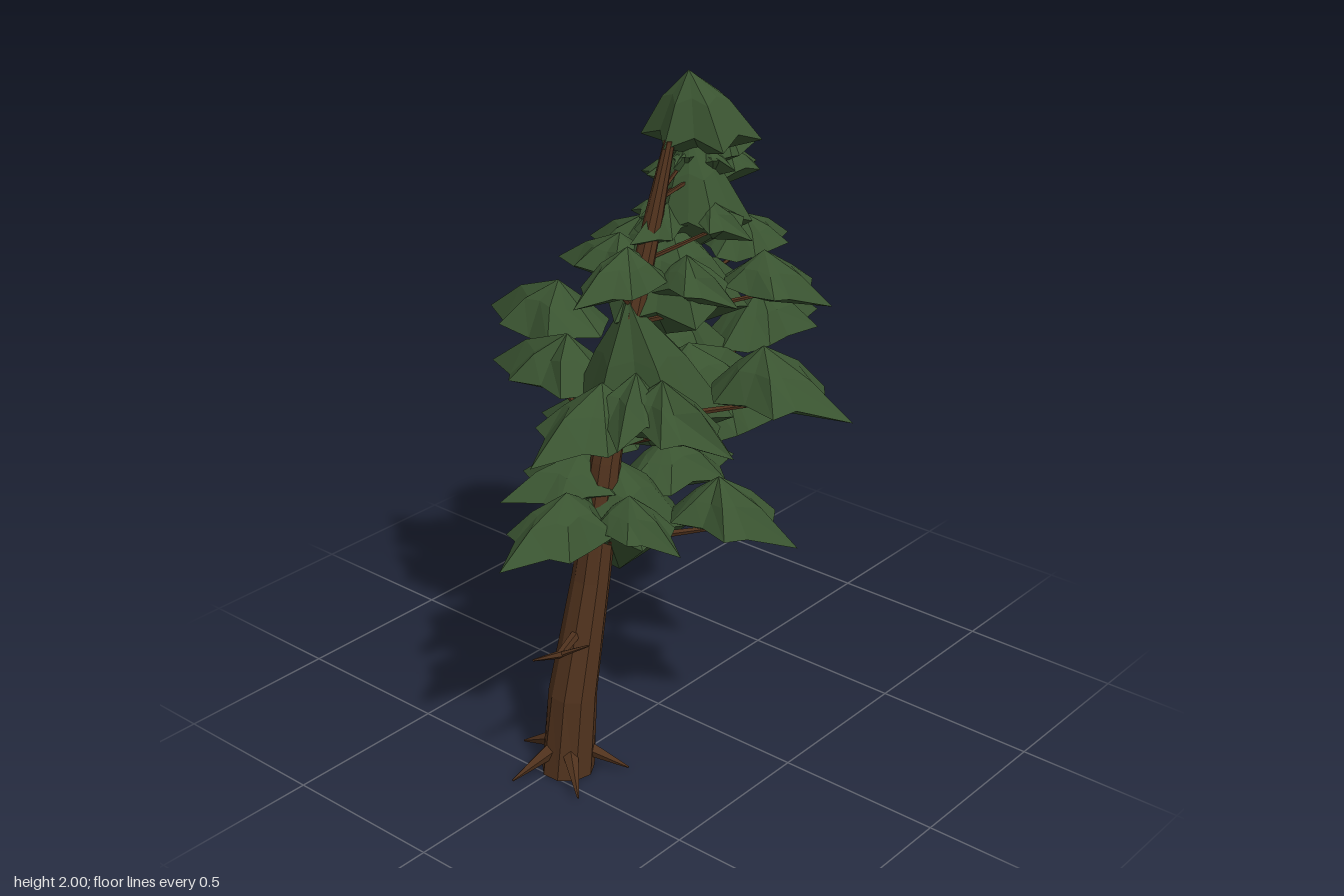
import * as THREE from 'three';

const V = (x, y, z) => new THREE.Vector3(x, y, z);
const green = new THREE.MeshStandardMaterial({ color: 0x3a5431, flatShading: true });
const bark = new THREE.MeshStandardMaterial({ color: 0x50321d, flatShading: true });

// small repeatable random source
let seed = 7;
const rnd = () => ((seed = (seed * 16807) % 2147483647) / 2147483647);
const jit = (a) => 1 + (rnd() - 0.5) * a;

// closed solid through rings of equal length, listed from top to bottom, anticlockwise from above
function loft(rings, top, bottom) {
  const points = [];
  const n = rings[0].length;
  const last = rings[rings.length - 1];
  for (let i = 0; i < n; i++) {
    const j = (i + 1) % n;
    points.push(top, rings[0][i], rings[0][j]);
    for (let k = 0; k < rings.length - 1; k++) {
      const a = rings[k], b = rings[k + 1];
      points.push(a[i], b[j], a[j], a[i], b[i], b[j]);
    }
    points.push(bottom, last[j], last[i]);
  }
  const g = new THREE.BufferGeometry().setFromPoints(points);
  g.computeVertexNormals();
  return g;
}

function add(parent, name, geometry, material) {
  const m = new THREE.Mesh(geometry, material);
  m.name = name;
  parent.add(m);
  return m;
}

// tapered stick from a to b
function stick(parent, name, a, b, r0, r1) {
  const d = b.clone().sub(a);
  const m = add(parent, name, new THREE.CylinderGeometry(r1, r0, d.length(), 5), bark);
  m.position.copy(a).addScaledVector(d, 0.5);
  m.quaternion.setFromUnitVectors(V(0, 1, 0), d.normalize());
}

// outline of a needle pad: distance along the pad, half width
const half = [[0.7, 0.5], [0.62, 0.95], [0.38, 0.8], [0.16, 0.88], [0.06, 0.45]];
const outline = [[1, 0], ...half, [-0.03, 0], ...half.map(([u, v]) => [u, -v]).reverse()];

// domed pad pointing from root to tip, its width and height following its length
function pad(parent, root, tip) {
  const along = tip.clone().sub(root).setY(0);
  const across = V(along.z, 0, -along.x).multiplyScalar(0.31);
  const h = along.length() * 0.35;
  const at = (u, v, y) =>
    root.clone().addScaledVector(along, u).addScaledVector(across, v).setY(tip.y + y);
  const rim = [], mid = [];
  outline.forEach(([u, v], i) => {
    const f = jit(0.2);
    rim.push(at(u, v * f, i ? 0.03 * rnd() : 0));
    mid.push(at(0.38 + (u - 0.38) * 0.52, v * 0.56 * f, h * (0.56 + 0.12 * rnd())));
  });
  add(parent, 'foliagePad', loft([mid, rim], at(0.35, 0, h), at(0.4, 0, -0.03)), green);
}

// jagged clump around the stem: peak, rim height, radius and lowest point
function clump(parent, name, peak, rim, r, low) {
  const outer = [], mid = [];
  for (let i = 0; i < 12; i++) {
    const a = (-i / 12) * Math.PI * 2;
    const q = r * (i % 2 ? 0.8 : 1) * jit(0.15);
    outer.push(V(low.x + Math.cos(a) * q, rim + (i % 2) * 0.03, low.z + Math.sin(a) * q));
    mid.push(outer[i].clone().lerp(peak, 0.45).add(V(0, 0.025, 0)));
  }
  add(parent, name, loft([mid, outer], peak, low), green);
}

// leaning stem line: x, y, radius
const line = [[-0.435, 0, 0.078], [-0.41, 0.25, 0.072], [-0.335, 0.6, 0.056], [-0.275, 0.95, 0.045],
  [-0.17, 1.35, 0.034], [-0.085, 1.62, 0.026], [-0.025, 1.82, 0.016]];
const stemZ = (y) => 0.02 + y * 0.022;
function stemAt(y) {
  const i = line.findIndex((p) => p[1] >= y);
  const [x0, y0] = line[i - 1], [x1, y1] = line[i];
  return V(THREE.MathUtils.mapLinear(y, y0, y1, x0, x1), y, stemZ(y));
}

// branch tiers: centre, longest pad and pad tips
const tiers = [
  { centre: V(-0.2, 0, 0.04), reach: 0.41, tips: [
    V(-0.7, 0.76, 0.03), V(-0.51, 0.84, -0.15), V(0.54, 0.85, 0), V(0.23, 0.8, 0.1),
    V(-0.08, 0.77, 0.57), V(-0.33, 0.77, 0.36), V(-0.05, 0.88, -0.42), V(-0.26, 0.8, -0.3)] },
  { centre: V(-0.1, 0, 0.04), reach: 0.45, tips: [
    V(0.7, 1.11, 0.05), V(0.36, 1.04, 0.08), V(0.4, 1.1, -0.15), V(-0.58, 1.03, 0.04),
    V(-0.43, 1.08, 0.22), V(0.06, 1.12, 0.64), V(-0.23, 1.06, 0.46), V(-0.02, 1.16, -0.65),
    V(-0.17, 1.07, -0.5)] },
  { centre: V(0, 0, 0.05), reach: 0.34, tips: [
    V(0.55, 1.4, 0.04), V(0.27, 1.36, 0.06), V(-0.41, 1.44, 0.05), V(0.14, 1.4, 0.5),
    V(-0.08, 1.42, 0.35), V(0.1, 1.42, -0.35), V(-0.09, 1.42, -0.3)] },
  { centre: V(0.08, 0, 0.06), reach: 0.24, tips: [
    V(0.39, 1.66, 0.04), V(-0.18, 1.56, 0.05), V(0.04, 1.57, 0.3), V(0.1, 1.66, -0.15),
    V(0.02, 1.57, -0.12), V(0.36, 1.73, 0.05), V(-0.02, 1.74, 0.07), V(0.1, 1.73, 0.19),
    V(0.13, 1.73, -0.1)] },
];

export function createModel() {
  seed = 7;
  const tree = new THREE.Group();
  tree.name = 'leaningConifer';

  // trunk
  const rings = line.map(([x, y, r]) => Array.from({ length: 9 }, (_, i) => {
    const a = (-i / 9) * Math.PI * 2, q = r * jit(0.08);
    return V(x + Math.cos(a) * q, y, stemZ(y) + Math.sin(a) * q);
  })).reverse();
  add(tree, 'trunk', loft(rings, V(-0.02, 1.83, 0.06), V(-0.435, 0, 0.02)), bark);

  // root spikes
  for (let i = 0; i < 5; i++) {
    const a = (i / 5) * Math.PI * 2 + 0.977;
    const at = (r, y) => V(-0.435 + r * Math.cos(a), y, 0.02 + r * Math.sin(a));
    stick(tree, 'root', at(0.055, 0.075), at(0.18, 0.012), 0.024, 0.003);
  }

  // bare branch low on the trunk
  const fork = V(-0.51, 0.435, 0.07);
  stick(tree, 'bareBranch', stemAt(0.455), fork, 0.016, 0.012);
  stick(tree, 'bareBranch', fork, V(-0.65, 0.492, 0.1), 0.012, 0.003);
  stick(tree, 'bareTwig', fork, V(-0.485, 0.485, 0.155), 0.009, 0.003);

  // inner clumps, bottom to top
  clump(tree, 'foliageCore', V(-0.25, 0.95, 0.04), 0.73, 0.2, V(-0.21, 0.57, 0.03));
  clump(tree, 'foliageCore', V(-0.19, 1.41, 0.05), 1.03, 0.24, V(-0.08, 0.92, 0.04));
  clump(tree, 'foliageCore', V(-0.02, 1.6, 0.05), 1.34, 0.22, V(0, 1.24, 0.03));
  clump(tree, 'foliageCore', V(0.06, 1.82, 0.06), 1.57, 0.16, V(0.09, 1.48, 0.06));
  clump(tree, 'crownTip', V(0.055, 2.0, 0.06), 1.8, 0.16, V(0.11, 1.75, 0.06));

  // pads, each carried by a branch from the trunk
  tiers.forEach(({ centre, reach, tips }, t) => {
    const tier = new THREE.Group();
    tier.name = 'branchTier' + (t + 1);
    tree.add(tier);
    tips.forEach((tip) => {
      const inward = centre.clone().sub(tip).setY(0);
      // front and back pads run nearly straight along z
      if (Math.abs(inward.z) > Math.abs(inward.x)) inward.x *= 0.3;
      const root = inward.clampLength(0, reach).add(tip);
      pad(tier, root, tip);
      const end = root.clone().lerp(tip, 0.5).add(V(0, 0.01, 0));
      stick(tier, 'branch', stemAt(tip.y - 0.07), end, 0.016 - t * 0.003, 0.005);
    });
  });
  return tree;
}
